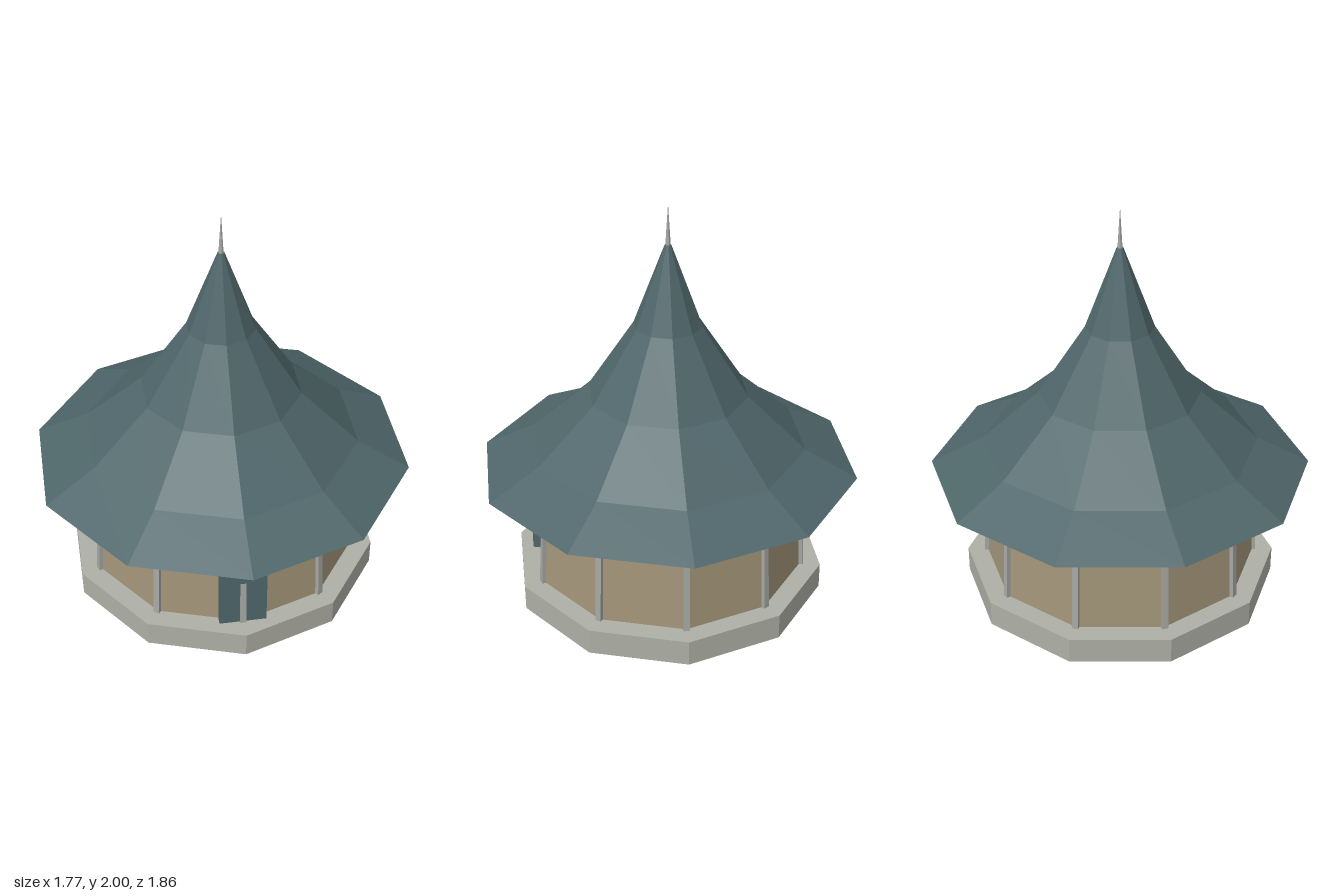
import * as THREE from 'three';

const SIDES = 10;

function material(name, color) {
  const m = new THREE.MeshStandardMaterial({ color, flatShading: true });
  m.name = name;
  return m;
}

export function createModel() {
  const model = new THREE.Group();
  model.name = 'roundPavilion';
  const roofTeal = material('roofTeal', 0x4f666a);
  const wallTan = material('wallTan', 0xa39579);
  const stone = material('stoneGrey', 0xaeafa5);
  const trim = material('trimGrey', 0xa6a8a4);

  const add = (name, geometry, mat, y = 0, z = 0, parent = model) => {
    const mesh = new THREE.Mesh(geometry, mat);
    mesh.name = name;
    mesh.position.set(0, y, z);
    parent.add(mesh);
    return mesh;
  };

  // Stone plinth
  add('plinth', new THREE.CylinderGeometry(0.777, 0.777, 0.13, SIDES), stone, 0.065);

  // Tapered walls between plinth and eaves
  const bottom = 0.13, top = 0.655, rBottom = 0.677, rTop = 0.652;
  const height = top - bottom, middle = (top + bottom) / 2;
  add('walls', new THREE.CylinderGeometry(rTop, rBottom, height, SIDES, 1, true), wallTan, middle);

  // Leaning corner posts
  const postGeometry = new THREE.BoxGeometry(0.03, height, 0.03);
  for (let i = 0; i < SIDES; i++) {
    const corner = new THREE.Group();
    corner.name = 'cornerPost' + (i + 1);
    corner.rotation.y = (i / SIDES) * Math.PI * 2;
    const post = add('post', postGeometry, trim, middle, (rTop + rBottom) / 2, corner);
    post.rotation.x = -Math.atan((rBottom - rTop) / height);
    model.add(corner);
  }

  // Upright door set over the front corner
  add('door', new THREE.BoxGeometry(0.23, 0.5, 0.036), roofTeal, 0.38, 0.662);

  // Swept roof with a flat underside
  const profile = [[0, 0.655], [0.931, 0.655], [0.675, 0.79], [0.391, 1.05], [0.165, 1.4], [0.016, 1.8], [0, 1.8]]
    .map(([r, y]) => new THREE.Vector2(r, y));
  add('roof', new THREE.LatheGeometry(profile, SIDES), roofTeal);

  // Spire tip
  add('finial', new THREE.ConeGeometry(0.014, 0.22, 6), trim, 1.89);

  return model;
}
